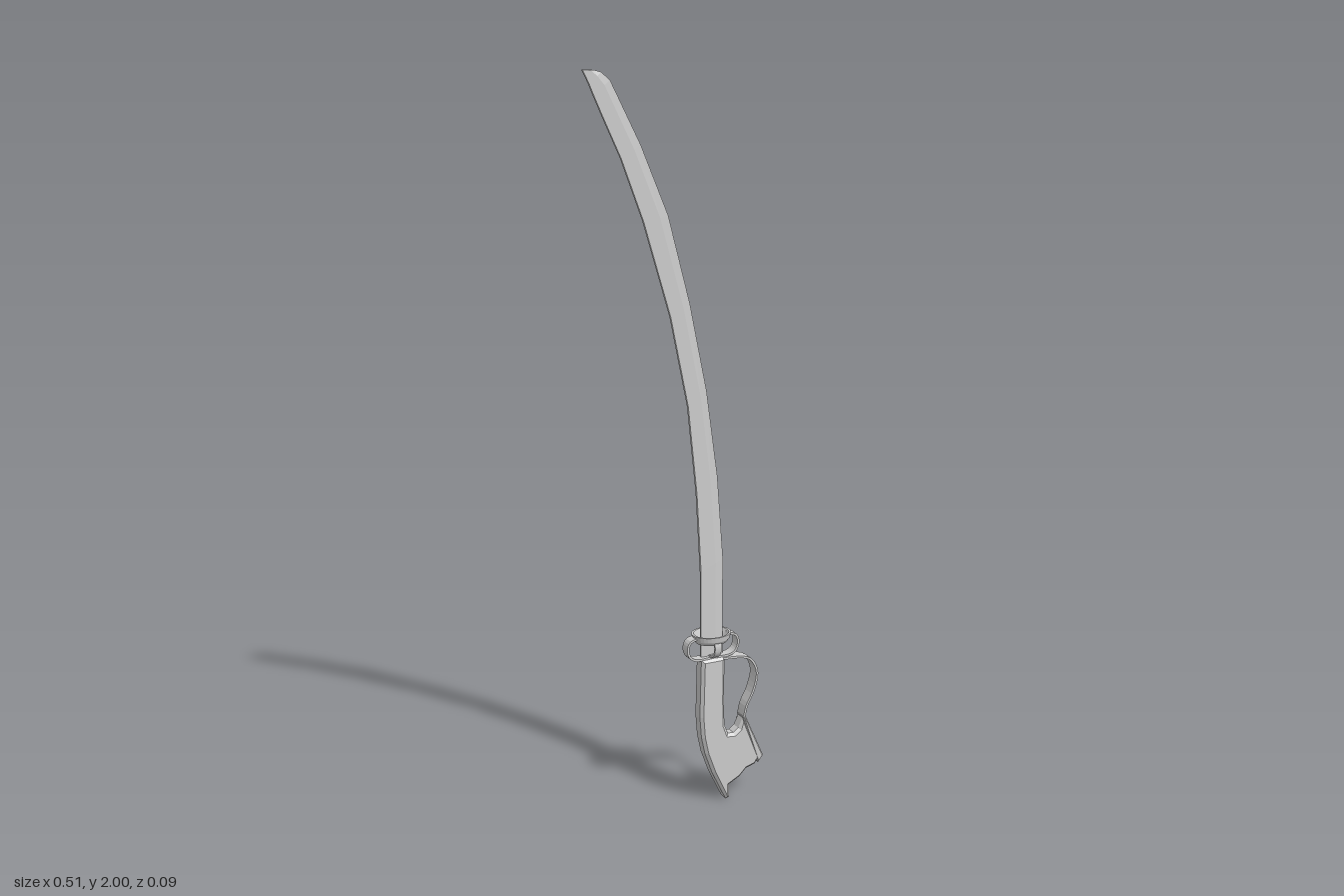
import * as THREE from 'three';

const material = new THREE.MeshStandardMaterial({ color: 0xcccccc, flatShading: true, side: THREE.DoubleSide });
const vectors = (points) => points.map(([x, y]) => new THREE.Vector2(x, y));

function addMesh(parent, name, geometry) {
  const mesh = new THREE.Mesh(geometry, material);
  mesh.name = name;
  parent.add(mesh);
  return mesh;
}

// Flat strip of metal that follows a curve in the xy plane, centred on z = 0
function strapGeometry(points, width, thickness, steps = 16) {
  const curve = new THREE.SplineCurve(vectors(points));
  const outer = [], inner = [];
  for (let i = 0; i <= steps; i++) {
    const p = curve.getPoint(i / steps), t = curve.getTangent(i / steps);
    const n = new THREE.Vector2(-t.y, t.x).multiplyScalar(thickness / 2);
    outer.push(p.clone().add(n));
    inner.unshift(p.clone().sub(n));
  }
  const shape = new THREE.Shape([...outer, ...inner]);
  return new THREE.ExtrudeGeometry(shape, { depth: width, bevelEnabled: false }).translate(0, 0, -width / 2);
}

// Solid plate with chamfered rims, cut from an outline in the xy plane
function plateGeometry(points, width, bevel) {
  return new THREE.ExtrudeGeometry(new THREE.Shape(vectors(points)), {
    depth: width - 2 * bevel, bevelThickness: bevel, bevelSize: bevel, bevelOffset: -bevel, bevelSegments: 1,
  }).translate(0, 0, bevel - width / 2);
}

// Curved blade: flat spine on the hollow side, sharp edge on the bulging side
function bladeGeometry() {
  // spine x, spine y, edge x, edge y
  const sections = [
    [0.07, 0.43, 0.136, 0.43], [0.069, 0.67, 0.136, 0.7], [0.056, 0.89, 0.118, 0.93],
    [0.03, 1.13, 0.085, 1.165], [-0.02, 1.37, 0.036, 1.4], [-0.095, 1.62, -0.025, 1.63],
    [-0.155, 1.78, -0.1, 1.81], [-0.208, 1.895, -0.163, 1.935], [-0.228, 1.94, -0.182, 1.972],
    [-0.24, 1.968, -0.205, 1.992], [-0.256, 2.0, -0.225, 1.998], [-0.256, 2.0, -0.256, 2.0],
  ];
  const position = [], index = [], half = 0.004;
  sections.forEach(([sx, sy, ex, ey], i) => {
    const mx = sx + (ex - sx) * 0.65, my = sy + (ey - sy) * 0.65;
    position.push(sx, sy, half, mx, my, half, ex, ey, 0, mx, my, -half, sx, sy, -half);
    if (i === 0) return;
    for (let k = 0; k < 5; k++) {
      const a = (i - 1) * 5 + k, b = (i - 1) * 5 + ((k + 1) % 5);
      index.push(a, b, b + 5, a, b + 5, a + 5);
    }
  });
  index.push(0, 2, 1, 0, 3, 2, 0, 4, 3);
  const geometry = new THREE.BufferGeometry();
  geometry.setAttribute('position', new THREE.Float32BufferAttribute(position, 3));
  geometry.setIndex(index);
  geometry.computeVertexNormals();
  return geometry;
}

export function createModel() {
  const model = new THREE.Group();
  model.name = 'sabre';

  addMesh(model, 'blade', bladeGeometry());

  // Grip with hooked pommel
  addMesh(model, 'grip', plateGeometry([
    [0.066, 0.425], [0.062, 0.26], [0.067, 0.2], [0.078, 0.15], [0.1, 0.09], [0.135, 0.018],
    [0.143, 0.003], [0.153, 0.008], [0.152, 0.045], [0.185, 0.062], [0.205, 0.082], [0.232, 0.09],
    [0.246, 0.11], [0.193, 0.235], [0.18, 0.207], [0.165, 0.196], [0.147, 0.198], [0.137, 0.225],
    [0.135, 0.3], [0.136, 0.425],
  ], 0.042, 0.008));

  // End plate on the pommel
  addMesh(model, 'pommelPlate', plateGeometry([
    [0.191, 0.24], [0.24, 0.094], [0.256, 0.113], [0.201, 0.238],
  ], 0.042, 0.004));

  // Knuckle bow from the guard down to the pommel
  addMesh(model, 'knuckleBow', strapGeometry([
    [0.13, 0.42], [0.185, 0.415], [0.218, 0.4], [0.235, 0.36], [0.224, 0.31], [0.204, 0.27], [0.196, 0.236],
  ], 0.036, 0.006, 20));

  // Guard: flared oval ring carried by four curled arms
  const guard = new THREE.Group();
  guard.name = 'guard';
  guard.position.set(0.102, 0, 0);
  model.add(guard);

  const ring = addMesh(guard, 'guardRing', new THREE.LatheGeometry(vectors([
    [0.03, 0.468], [0.036, 0.47], [0.043, 0.48], [0.046, 0.495], [0.041, 0.495], [0.036, 0.483], [0.03, 0.468],
  ]), 32));
  ring.scale.x = 1.2;

  for (const side of [0, 1]) {
    const longArm = addMesh(guard, 'longGuardArm', strapGeometry([
      [0, 0.428], [0.045, 0.426], [0.068, 0.437], [0.076, 0.46], [0.068, 0.481], [0.045, 0.488],
    ], 0.028, 0.006));
    longArm.rotation.y = side * Math.PI;
    const shortArm = addMesh(guard, 'shortGuardArm', strapGeometry([
      [0, 0.43], [0.02, 0.433], [0.035, 0.446], [0.039, 0.463], [0.036, 0.478],
    ], 0.019, 0.006));
    shortArm.rotation.y = Math.PI / 2 + side * Math.PI;
  }
  return model;
}
